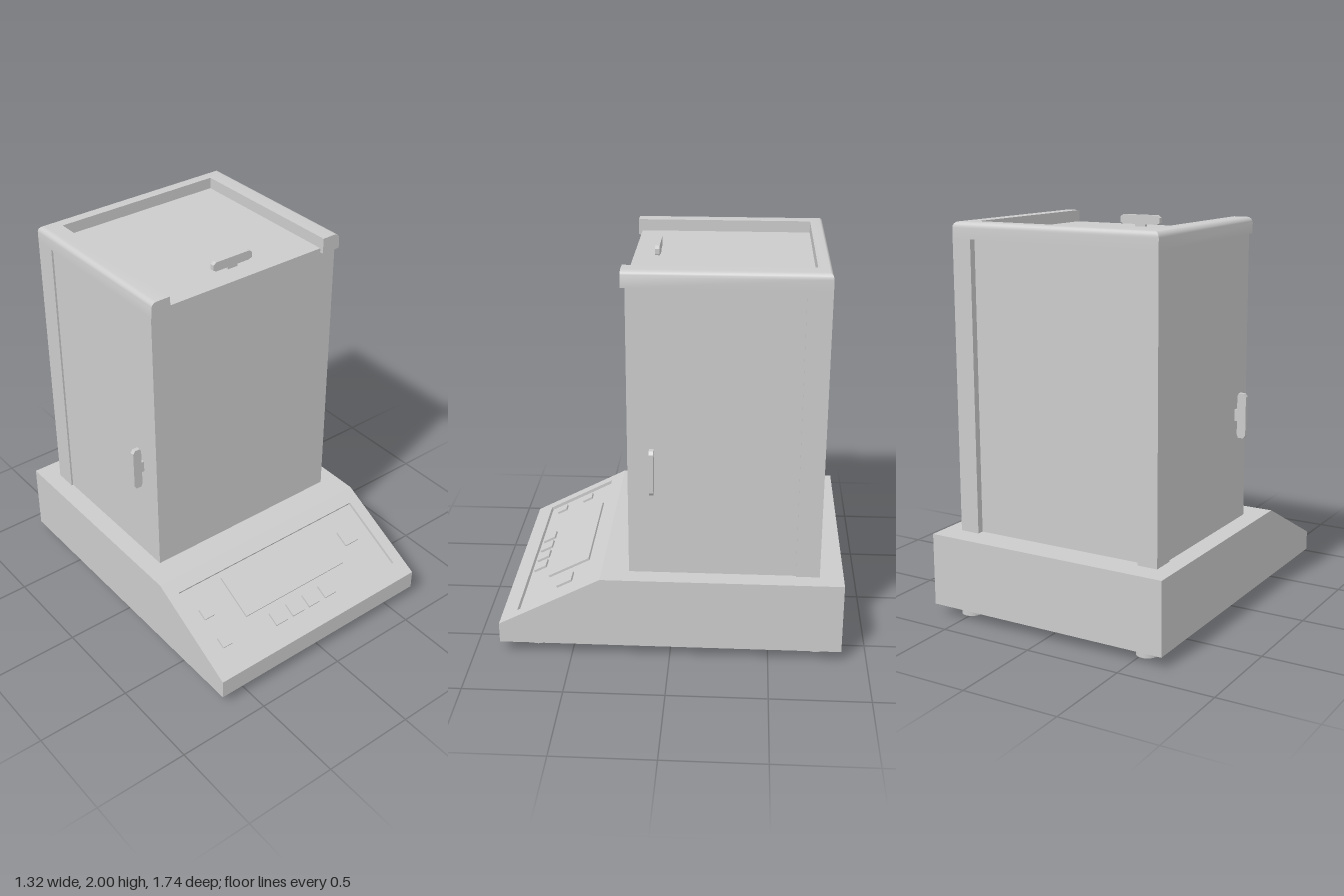
import * as THREE from 'three';
import { toCreasedNormals } from 'three/addons/utils/BufferGeometryUtils.js';

const material = new THREE.MeshStandardMaterial({ color: 0xcccccc });

// Sloped control face of the base, as y over z
const TILT = Math.atan2(0.27, 0.52);
const slopeY = (z) => 0.435 - (z - 0.35) * Math.tan(TILT);
const RECESS = 0.017;

function add(parent, name, geometry, x = 0, y = 0, z = 0) {
  const mesh = new THREE.Mesh(geometry, material);
  mesh.name = name;
  mesh.position.set(x, y, z);
  parent.add(mesh);
  return mesh;
}

function box(parent, name, x0, x1, y0, y1, z0, z1) {
  const geometry = new THREE.BoxGeometry(x1 - x0, y1 - y0, z1 - z0);
  return add(parent, name, geometry, (x0 + x1) / 2, (y0 + y1) / 2, (z0 + z1) / 2);
}

function extrude(points, depth) {
  const shape = new THREE.Shape(points.map(([x, y]) => new THREE.Vector2(x, y)));
  const geometry = new THREE.ExtrudeGeometry(shape, { depth, bevelEnabled: false });
  return geometry.translate(0, 0, -depth / 2);
}

// U-shaped top frame: a rounded section swept along three mitred sides
function topFrameGeometry() {
  const r = 0.03, section = [[0.105, 1.918], [0, 1.918]];
  for (let i = 0; i <= 5; i++) {
    const a = (i / 5) * Math.PI / 2;
    section.push([r - r * Math.cos(a), 2 - r + r * Math.sin(a)]);
  }
  section.push([0.105, 2]);
  const stations = [[1, false], [1, true], [-1, true], [-1, false]].map(([side, back]) =>
    section.map(([d, y]) => [side * (0.57 - d), y, back ? -0.75 + d * 0.67 : 0.23]));
  const positions = [];
  const tri = (...corners) => corners.forEach((c) => positions.push(...c));
  const n = section.length;
  for (let s = 0; s < 3; s++) {
    const a = stations[s], b = stations[s + 1];
    for (let j = 0; j < n; j++) {
      const k = (j + 1) % n;
      tri(a[j], b[j], b[k]);
      tri(a[j], b[k], a[k]);
    }
  }
  for (let j = 1; j < n - 1; j++) {
    tri(stations[0][0], stations[0][j], stations[0][j + 1]);
    tri(stations[3][0], stations[3][j + 1], stations[3][j]);
  }
  const geometry = new THREE.BufferGeometry();
  geometry.setAttribute('position', new THREE.Float32BufferAttribute(positions, 3));
  return toCreasedNormals(geometry, 0.6);
}

function createBase() {
  const base = new THREE.Group();
  base.name = 'base';
  const front = [[-0.87, 0.06], [0.87, 0.06], [0.87, 0.165]];
  const rear = [[0.35, 0.435], [-0.87, 0.435]];
  const dy = RECESS * Math.cos(TILT), dz = RECESS * Math.sin(TILT);
  const recess = [
    [0.785, slopeY(0.785)], [0.785 - dz, slopeY(0.785) - dy],
    [0.42 - dz, slopeY(0.42) - dy], [0.42, slopeY(0.42)],
  ];
  // Middle with the recessed control panel, and a plain cheek on each side
  add(base, 'baseMiddle', extrude([...front, ...recess, ...rear], 1.19).rotateY(-Math.PI / 2));
  for (const s of [-1, 1]) {
    add(base, 'baseCheek', extrude([...front, ...rear], 0.065).rotateY(-Math.PI / 2), s * 0.6275);
    for (const z of [0.69, -0.745]) {
      add(base, 'foot', new THREE.CylinderGeometry(0.056, 0.056, 0.07, 32), s * 0.517, 0.035, z);
    }
  }
  return base;
}

// Raised display and keys lying on the sloped panel
function createControls() {
  const controls = new THREE.Group();
  controls.name = 'controls';
  const raised = (name, x0, x1, z0, z1) => {
    const z = (z0 + z1) / 2;
    const geometry = new THREE.BoxGeometry(x1 - x0, 0.024, (z1 - z0) / Math.cos(TILT));
    const floor = slopeY(z) - RECESS / Math.cos(TILT);
    add(controls, name, geometry, (x0 + x1) / 2, floor, z).rotation.x = TILT;
  };
  raised('display', -0.34, 0.335, 0.44, 0.655);
  raised('powerKey', 0.412, 0.5, 0.512, 0.59);
  for (const z of [0.525, 0.677]) raised('smallKey', -0.548, -0.49, z, z + 0.052);
  for (let i = 0; i < 4; i++) {
    const x = -0.222 + i * 0.112;
    raised('functionKey', x, x + 0.074, 0.695, 0.76);
  }
  return controls;
}

// Flat grip with chamfered corners on a short stem, pointing up from y = 0
function handleGeometry() {
  const half = [[0.03, -0.01], [0.03, 0.012], [0.1, 0.012], [0.117, 0.02], [0.117, 0.048], [0.1, 0.06]];
  const mirrored = half.map(([x, y]) => [-x, y]).reverse();
  return extrude([...half, ...mirrored], 0.022);
}

function createChamber() {
  const chamber = new THREE.Group();
  chamber.name = 'weighingChamber';
  box(chamber, 'chamberPanels', -0.56, 0.56, 0.43, 1.94, -0.715, 0.21);
  add(chamber, 'topFrame', topFrameGeometry());
  add(chamber, 'topHandle', handleGeometry(), 0, 1.94, 0.09);
  for (const s of [-1, 1]) {
    const [x0, x1] = s > 0 ? [0.465, 0.57] : [-0.57, -0.465];
    box(chamber, 'rearPost', x0, x1, 0.43, 1.92, -0.75, -0.63);
    add(chamber, 'sideHandle', handleGeometry(), s * 0.562, 1.003, 0.09).rotation.z = -s * Math.PI / 2;
  }
  return chamber;
}

export function createModel() {
  const model = new THREE.Group();
  model.name = 'laboratoryBalance';
  model.add(createBase(), createControls(), createChamber());
  return model;
}
